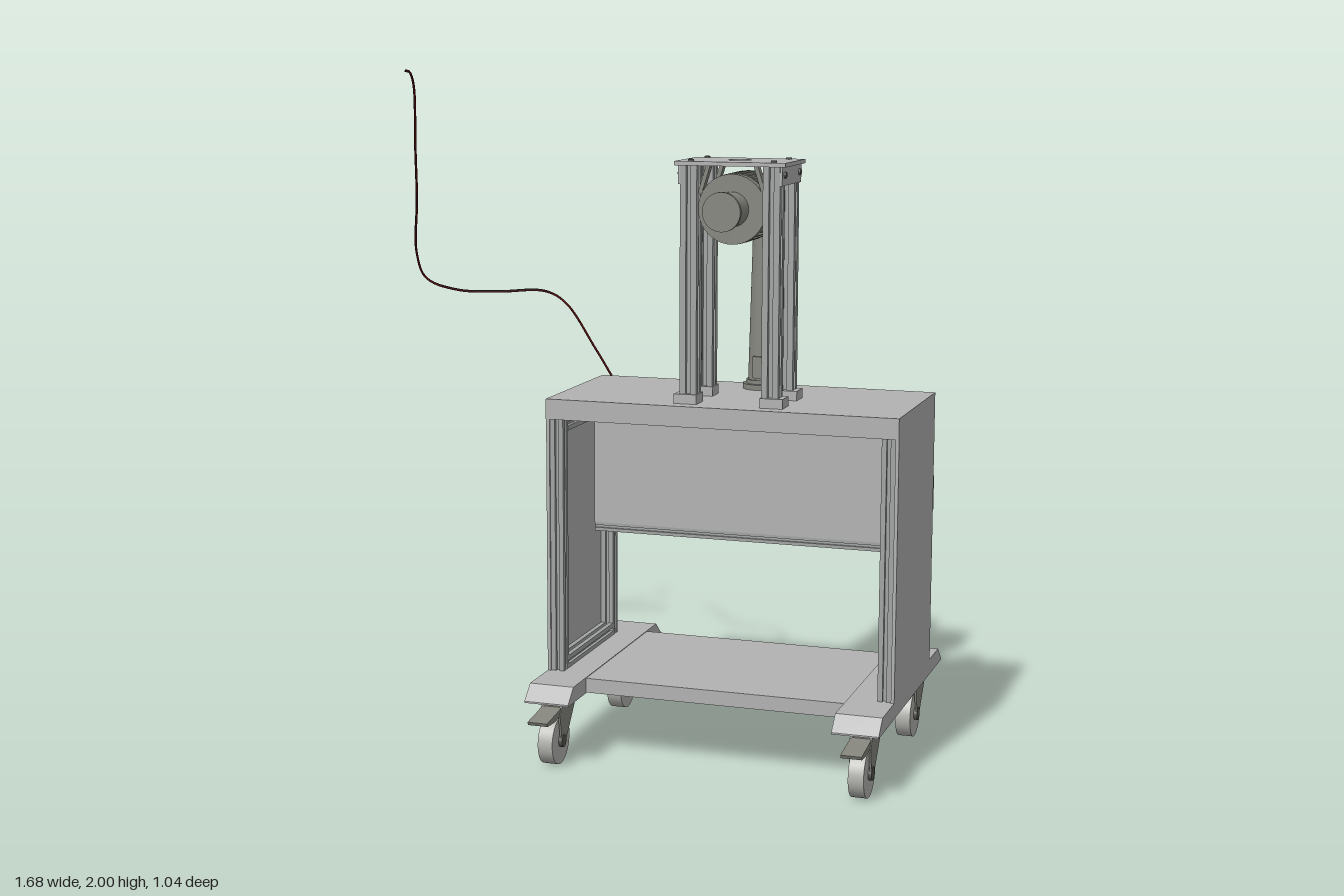
import * as THREE from 'three';

const mat = (name, hex) => {
  const m = new THREE.MeshStandardMaterial({ color: hex });
  m.name = name;
  return m;
};

export function createModel() {
  const M = {
    sheet: mat('sheet metal', 0xb2b2b2),
    alu: mat('aluminium profile', 0xa2a4a4),
    iron: mat('cast iron', 0x85857e),
    dark: mat('dark steel', 0x55554f),
    tyre: mat('wheel grey', 0xb4b4b0),
    amber: mat('amber', 0xd88a0c),
    black: mat('black', 0x141414),
    red: mat('dark red', 0x6a1010),
    pale: mat('pale plastic', 0xd0d0d0),
  };
  const root = new THREE.Group();
  root.name = 'testCart';
  const group = (name, parent = root) => {
    const g = new THREE.Group();
    g.name = name;
    parent.add(g);
    return g;
  };
  const add = (name, geo, m, p = [0, 0, 0], parent = root) => {
    const mesh = new THREE.Mesh(geo, m);
    mesh.name = name;
    mesh.position.set(...p);
    parent.add(mesh);
    return mesh;
  };
  // Box given by its two extreme corners
  const box = (name, a, b, m, parent = root) => add(name,
    new THREE.BoxGeometry(b[0] - a[0], b[1] - a[1], b[2] - a[2]), m, a.map((v, i) => (v + b[i]) / 2), parent);
  const cyl = (name, r1, r2, h, m, p, parent = root, axis = 'y', seg = 32) => {
    const g = new THREE.CylinderGeometry(r1, r2, h, seg);
    if (axis === 'z') g.rotateX(Math.PI / 2);
    if (axis === 'x') g.rotateZ(-Math.PI / 2);
    return add(name, g, m, p, parent);
  };
  // Outline in (z, y), extruded along x from x0 to x1
  const sideExtrude = (name, pts, x0, x1, m, parent = root) => {
    const s = new THREE.Shape(pts.map(([z, y]) => new THREE.Vector2(-z, y)));
    const g = new THREE.ExtrudeGeometry(s, { depth: x1 - x0, bevelEnabled: false });
    g.rotateY(Math.PI / 2);
    g.translate(x0, 0, 0);
    g.scale(1, 1, 1);
    return add(name, g, m, [0, 0, 0], parent);
  };
  // Slotted square bar centred on p
  const profile = (name, size, len, axis, p, parent = root) => {
    const h = size / 2, n = size * 0.14, d = size * 0.25, pts = [];
    for (let k = 0; k < 4; k++) {
      for (const [x, y] of [[-h, -h], [-n, -h], [-n, d - h], [n, d - h], [n, -h]]) {
        pts.push(new THREE.Vector2(x, y).rotateAround(new THREE.Vector2(), k * Math.PI / 2));
      }
    }
    const g = new THREE.ExtrudeGeometry(new THREE.Shape(pts), { depth: len, bevelEnabled: false });
    g.translate(0, 0, -len / 2);
    if (axis === 'y') g.rotateX(Math.PI / 2);
    if (axis === 'x') g.rotateY(Math.PI / 2);
    return add(name, g, M.alu, p, parent);
  };
  const CX = 0.315; // cart centre line

  // Cart body: table top, sides, frame
  box('tableTop', [-0.21, 1.0, -0.21], [0.84, 1.06, 0.275], M.sheet);
  for (const s of [-1, 1]) {
    const side = group(s < 0 ? 'rightSide' : 'leftSide');
    const xo = CX + s * 0.52;
    box('sidePanel', [xo - 0.005, 0.24, -0.21], [xo + 0.005, 1.0, 0.272], M.sheet, side);
    const xp = CX + s * 0.495;
    for (const z of [-0.185, 0.247]) profile('cornerPost', 0.04, 0.76, 'y', [xp, 0.62, z], side);
    for (const y of [0.26, 0.98]) profile('sideRail', 0.04, 0.39, 'z', [xp, y, 0.031], side);

    // Foot beam with sloping ends
    const xf = CX + s * 0.4575;
    sideExtrude('footBeam', [[0.46, 0.195], [-0.385, 0.195], [-0.385, 0.2], [-0.335, 0.242], [0.415, 0.242], [0.46, 0.2]],
      xf - 0.0675, xf + 0.0675, M.sheet, side);

    // Braked casters
    for (const z of [0.39, -0.205]) {
      const c = group('caster', side);
      c.position.set(CX + s * 0.462, 0, z);
      cyl('wheel', 0.071, 0.071, 0.045, M.tyre, [0, 0.071, 0], c, 'x');
      cyl('hub', 0.02, 0.02, 0.066, M.dark, [0, 0.071, 0], c, 'x', 16);
      for (const t of [-1, 1]) {
        sideExtrude('fork', [[0.012, 0.06], [-0.012, 0.06], [-0.095, 0.165], [-0.095, 0.182], [0.01, 0.182], [0.03, 0.15]].reverse(),
          t * 0.029 - 0.003, t * 0.029 + 0.003, M.iron, c);
      }
      box('forkCrown', [-0.032, 0.165, -0.1], [0.032, 0.184, 0.012], M.iron, c);
      box('mountPlate', [-0.045, 0.184, -0.12], [0.045, 0.196, 0.03], M.dark, c);
      sideExtrude('brakeLever', [[-0.02, 0.178], [0.06, 0.166], [0.13, 0.158], [0.125, 0.148], [0.06, 0.145], [0.0, 0.155]],
        -0.03, 0.03, M.iron, c);
    }
  }

  // Lower shelf on cross beams
  box('shelf', [-0.075, 0.228, -0.245], [0.705, 0.24, 0.31], M.sheet);
  for (const z of [-0.225, 0.29]) box('shelfBeam', [-0.075, 0.197, z - 0.02], [0.705, 0.228, z + 0.02], M.sheet);

  // Enclosure under the table top
  box('enclosureFront', [-0.16, 0.64, -0.01], [0.79, 1.0, 0.0], M.sheet);
  box('enclosureFloor', [-0.16, 0.64, -0.21], [0.79, 0.65, -0.01], M.sheet);
  for (const z of [-0.19, -0.015]) profile('enclosureRail', 0.028, 0.95, 'x', [CX, 0.627, z]);

  // Sloping control console at the back
  sideExtrude('console', [[-0.2, 0.652], [-0.2, 1.0], [-0.22, 1.0], [-0.462, 0.755], [-0.462, 0.652]], -0.16, 0.79, M.sheet);
  const panel = group('controlPanel');
  panel.position.set(0, 0.876, -0.341);
  panel.rotation.x = -Math.PI / 4;
  const along = z => (z + 0.341) * Math.SQRT2;
  for (const [x, z] of [[-0.085, -0.415], [0.255, -0.415], [0.52, -0.42], [0.53, -0.305]]) {
    const ring = add('socketRing', new THREE.TorusGeometry(0.019, 0.0055, 8, 28), M.black, [x, 0.006, along(z)], panel);
    ring.rotation.x = Math.PI / 2;
    cyl('socketFace', 0.015, 0.015, 0.008, M.pale, [x, 0.004, along(z)], panel);
  }
  const kz = along(-0.39);
  box('knobBase', [0.64, 0, kz - 0.045], [0.72, 0.016, kz + 0.045], M.amber, panel);
  cyl('knob', 0.04, 0.044, 0.03, M.amber, [0.68, 0.03, kz], panel);
  const sz = along(-0.36);
  box('switchPlate', [0.495, 0, sz - 0.04], [0.55, 0.014, sz + 0.04], M.pale, panel);
  box('switchRocker', [0.51, 0.014, sz - 0.012], [0.535, 0.022, sz + 0.012], M.iron, panel);
  for (const x of [-0.095, 0.007]) {
    cyl('cableSocket', 0.008, 0.01, 0.03, M.black, [x, 0.015, along(-0.295)], panel, 'y', 16);
    cyl('socketCollar', 0.0105, 0.0105, 0.008, M.red, [x, 0.02, along(-0.295)], panel, 'y', 16);
  }
  for (let i = 0; i < 18; i++) cyl('panelScrew', 0.003, 0.003, 0.003, M.dark, [-0.13 + i * 0.0525, 0.001, 0.145], panel, 'y', 8);
  for (const x of [-0.13, 0.7625]) {
    for (let i = 0; i < 5; i++) cyl('panelScrew', 0.003, 0.003, 0.003, M.dark, [x, 0.001, -0.14 + i * 0.057], panel, 'y', 8);
  }

  // Motor tower
  const tower = group('motorTower');
  const MX = 0.33, MZ = 0.12, MY = 1.62;
  for (const s of [-1, 1]) {
    for (const t of [-1, 1]) {
      const x = MX + s * 0.122, z = MZ + t * 0.078;
      profile('towerPost', 0.05, 0.66, 'y', [x, 1.415, z], tower);
      const fx = MX + s * 0.128;
      box('towerFoot', [fx - 0.034, 1.06, z - 0.032], [fx + 0.034, 1.088, z + 0.032], M.sheet, tower);
      cyl('plateBolt', 0.009, 0.009, 0.006, M.dark, [x, 1.757, z], tower, 'y', 12);
      cyl('sideBolt', 0.009, 0.009, 0.012, M.dark, [MX + s * 0.153, 1.72, z], tower, 'x', 12);
    }
    const xb = MX + s * 0.149;
    box('sideBracket', [xb - 0.004, 1.69, 0.018], [xb + 0.004, 1.745, 0.222], M.sheet, tower);
    for (const z of [0.05, 0.19]) {
      const strut = box('motorStrut', [-0.006, -0.045, -0.012], [0.006, 0.045, 0.012], M.iron, tower);
      strut.position.set(MX + s * 0.082, 1.705, z);
      strut.rotation.z = s * -0.3 * -1;
    }
  }
  const plate = new THREE.Shape([[-0.163, -0.108], [0.163, -0.108], [0.163, 0.108], [-0.163, 0.108]].map(p => new THREE.Vector2(...p)));
  plate.holes.push(new THREE.Path().absarc(0, 0, 0.034, 0, Math.PI * 2, true));
  const plateGeo = new THREE.ExtrudeGeometry(plate, { depth: 0.012, bevelEnabled: false, curveSegments: 24 });
  plateGeo.rotateX(-Math.PI / 2);
  add('towerTopPlate', plateGeo, M.sheet, [MX, 1.743, MZ], tower);

  // Finned motor
  const motor = group('motor', tower);
  motor.position.set(MX, MY, 0);
  cyl('motorCore', 0.084, 0.084, 0.15, M.iron, [0, 0, 0.105], motor, 'z');
  for (let i = 0; i < 36; i++) {
    const a = i * Math.PI / 18;
    const fin = box('coolingFin', [-0.003, -0.011, -0.065], [0.003, 0.011, 0.065], M.iron, motor);
    fin.position.set(Math.sin(a) * 0.09, Math.cos(a) * 0.09, 0.105);
    fin.rotation.z = -a;
  }
  cyl('motorFlange', 0.1, 0.1, 0.03, M.iron, [0, 0, 0.185], motor, 'z', 40);
  cyl('motorSnout', 0.05, 0.05, 0.095, M.iron, [0, 0, 0.245], motor, 'z');
  cyl('snoutRim', 0.056, 0.056, 0.012, M.iron, [0, 0, 0.298], motor, 'z');
  cyl('rearCover', 0.1, 0.1, 0.02, M.iron, [0, 0, 0.03], motor, 'z', 40);
  cyl('rearHub', 0.03, 0.03, 0.012, M.iron, [0, 0, 0.015], motor, 'z');
  for (let i = 0; i < 12; i++) {
    const a = i * Math.PI / 6;
    const slot = box('grilleSlot', [-0.007, -0.024, -0.002], [0.007, 0.024, 0.002], M.dark, motor);
    slot.position.set(Math.sin(a) * 0.063, Math.cos(a) * 0.063, 0.019);
    slot.rotation.z = -a;
  }

  // Tapered air column with a nozzle head
  const column = group('airColumn');
  column.position.set(MX - 0.003, 0, -0.127);
  const V = (x, y) => new THREE.Vector2(x, y);
  cyl('columnFlange', 0.055, 0.055, 0.016, M.iron, [0, 1.068, 0], column);
  cyl('columnCollar', 0.044, 0.044, 0.012, M.iron, [0, 1.082, 0], column);
  add('columnTube', new THREE.LatheGeometry([V(0.039, 1.085), V(0.036, 1.2), V(0.026, 1.6), V(0.024, 1.63)], 32), M.iron, [0, 0, 0], column);
  box('columnValve', [-0.014, 1.095, 0.02], [0.014, 1.16, 0.046], M.iron, column);
  // Head: a rounded body squeezed towards its front tip
  const head = new THREE.LatheGeometry([V(0, -0.075), V(0.042, -0.075), V(0.046, -0.03), V(0.045, 0.02), V(0.038, 0.06), V(0.022, 0.083), V(0, 0.09)], 32);
  head.rotateX(Math.PI / 2);
  head.scale(1.05, 0.85, 1);
  const hp = head.attributes.position;
  for (let i = 0; i < hp.count; i++) if (hp.getY(i) < 0) hp.setY(i, Math.max(hp.getY(i), -0.033));
  head.computeVertexNormals();
  add('nozzleHead', head, M.iron, [0, 1.623, 0.002], column);

  // Twin lead hanging in the air and plugged into the console
  const path = [
    [-0.755, 1.998, 0.035], [-0.757, 1.992, -0.01], [-0.76, 1.95, -0.043], [-0.775, 1.76, -0.08], [-0.80, 1.6, -0.14],
    [-0.838, 1.42, -0.215], [-0.825, 1.335, -0.26], [-0.74, 1.297, -0.305], [-0.62, 1.29, -0.355],
    [-0.48, 1.29, -0.415], [-0.42, 1.25, -0.445], [-0.33, 1.09, -0.492], [-0.25, 0.955, -0.518],
    [-0.2, 0.925, -0.51], [-0.14, 0.958, -0.47], [-0.08, 0.995, -0.425], [-0.02, 0.992, -0.36], [0.007, 0.94, -0.298]];
  const lead = (name, off, r, m) => add(name, new THREE.TubeGeometry(new THREE.CatmullRomCurve3(
    path.map(([x, y, z]) => new THREE.Vector3(x + off, y - off * 0.5, z + off))), 160, r, 8), m);
  lead('blackLead', 0, 0.0035, M.black);
  lead('redLead', 0.003, 0.0028, M.red);

  return root;
}
